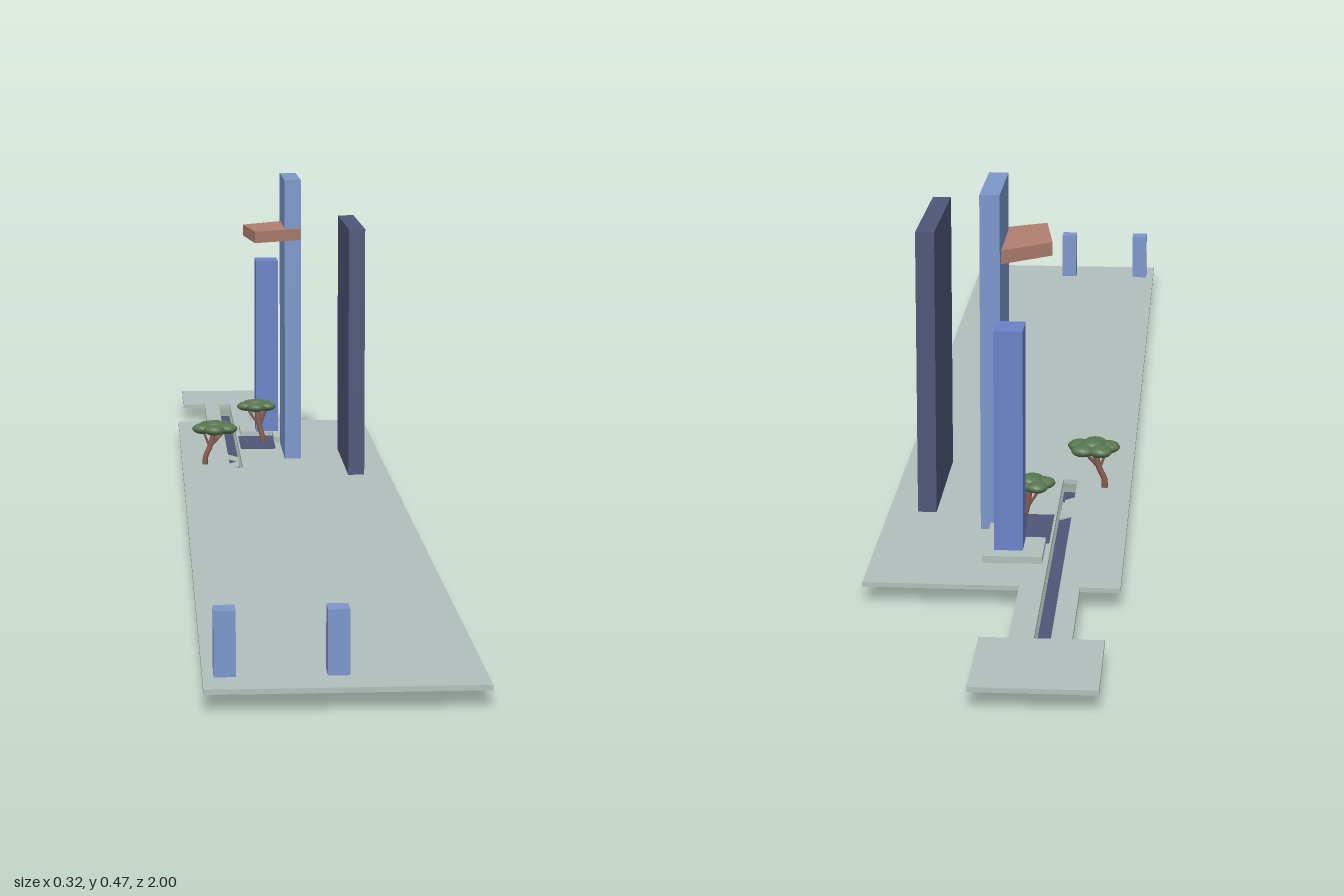
import * as THREE from 'three';

const mat = (name, color, extra = {}) => {
  const m = new THREE.MeshStandardMaterial({ color, ...extra });
  m.name = name;
  return m;
};

export function createModel() {
  const root = new THREE.Group();
  root.name = 'siteModel';
  const stone = mat('paleStone', 0xb2bfbb);
  const sky = mat('lightBlue', 0x7b97cb);
  const blue = mat('midBlue', 0x6a82c8);
  const navy = mat('navy', 0x4f5678);
  const clay = mat('terracotta', 0xb07f70);
  const leaf = mat('leafGreen', 0x58764f);
  const bark = mat('barkBrown', 0x8a5d50);

  const add = (name, geo, material, parent = root) => {
    const m = new THREE.Mesh(geo, material);
    m.name = name;
    parent.add(m);
    return m;
  };
  // Box given by its extents on each axis
  const box = (name, material, [x0, x1], [y0, y1], [z0, z1]) => {
    const g = new THREE.BoxGeometry(x1 - x0, y1 - y0, z1 - z0);
    g.translate((x0 + x1) / 2, (y0 + y1) / 2, (z0 + z1) / 2);
    return add(name, g, material);
  };
  // Horizontal slab from an outline of [x, z] points
  const toVec = (pts) => pts.map(([x, z]) => new THREE.Vector2(x, -z));
  const slab = (name, material, pts, y0, y1, hole) => {
    const s = new THREE.Shape(toVec(pts));
    if (hole) s.holes.push(new THREE.Path(toVec(hole)));
    const g = new THREE.ExtrudeGeometry(s, { depth: y1 - y0, bevelEnabled: false });
    g.rotateX(-Math.PI / 2);
    g.translate(0, y0, 0);
    return add(name, g, material);
  };

  // Ground plate with neck, head and the long slot
  slab('groundPlate', stone, [
    [-0.16, 1], [0.16, 1], [0.16, -0.68], [-0.035, -0.68], [-0.035, -0.85], [0, -0.85],
    [0, -1], [-0.148, -1], [-0.148, -0.85], [-0.11, -0.85], [-0.11, -0.68], [-0.16, -0.68],
  ], 0.021, 0.027, [[-0.085, -0.85], [-0.085, -0.26], [-0.065, -0.26], [-0.065, -0.85]]);

  // Sunken channel floor below the slot
  box('channelFloor', navy, [-0.084, -0.066], [0, 0.007], [-0.845, -0.255]);

  // Zigzag ramps down into the channel
  [[-0.085, 0.021, -0.068, 0.016], [-0.068, 0.016, -0.085, 0.012], [-0.085, 0.012, -0.07, 0.007]]
    .forEach(([x0, y0, x1, y1], i) => {
      const g = new THREE.BoxGeometry(Math.hypot(x1 - x0, y1 - y0), 0.002, 0.035);
      g.rotateZ(Math.atan((y1 - y0) / (x1 - x0)));
      g.translate((x0 + x1) / 2, (y0 + y1) / 2, -0.38 + i * 0.035);
      add('ramp', g, stone);
    });

  // Plinth and pool
  slab('plinth', stone, [
    [-0.058, -0.6], [0.018, -0.6], [0.018, -0.47], [-0.005, -0.47], [-0.005, -0.525], [-0.058, -0.525],
  ], 0.027, 0.036);
  box('pool', navy, [-0.062, -0.005], [0.027, 0.029], [-0.523, -0.415]);

  // Towers
  box('darkTower', navy, [0.096, 0.121], [0.027, 0.411], [-0.41, -0.19]);
  box('tallTower', sky, [0.005, 0.031], [0.027, 0.475], [-0.473, -0.328]);
  box('rearTower', blue, [-0.032, 0.005], [0.036, 0.324], [-0.577, -0.527]);

  // Cantilevered terrace
  slab('terrace', clay, [
    [-0.058, -0.4], [-0.044, -0.285], [0.03, -0.327], [0.03, -0.472], [0.005, -0.453],
  ], 0.38, 0.398);

  // Gate posts
  [-0.135, -0.007].forEach((x) =>
    box('gatePost', sky, [x - 0.0125, x + 0.0125], [0.027, 0.103], [0.923, 0.951]));

  // Trees: bent trunks and flat lobed crowns
  const tree = (bx, bz, cx, cy, cz, r) => {
    const t = new THREE.Group();
    t.name = 'tree';
    root.add(t);
    const base = new THREE.Vector3(bx, 0.027, bz);
    const fork = new THREE.Vector3(bx + (cx - bx) * 0.45, 0.054, bz + (cz - bz) * 0.4);
    const trunk = new THREE.CatmullRomCurve3([base,
      new THREE.Vector3(bx + (cx - bx) * 0.05, 0.04, bz), fork,
      new THREE.Vector3(cx, cy, cz)]);
    add('trunk', new THREE.TubeGeometry(trunk, 10, 0.0042, 8), bark, t);
    for (let i = 0; i < 5; i++) {
      const a = (i / 5) * Math.PI * 2 + 0.4;
      const tip = new THREE.Vector3(cx + Math.cos(a) * r * 0.55, cy, cz + Math.sin(a) * r * 0.55);
      if (i % 2 === 0) {
        add('branch', new THREE.TubeGeometry(new THREE.LineCurve3(fork, tip), 1, 0.002, 6), bark, t);
      }
      const lobe = new THREE.SphereGeometry(r * 0.45, 12, 8);
      lobe.scale(1, 0.5, 1);
      lobe.translate(tip.x, tip.y, tip.z);
      add('crownLobe', lobe, leaf, t);
    }
    const top = new THREE.SphereGeometry(r * 0.5, 12, 8);
    top.scale(1, 0.5, 1);
    top.translate(cx, cy + 0.003, cz);
    add('crownTop', top, leaf, t);
  };
  tree(-0.124, -0.29, -0.108, 0.085, -0.292, 0.037);
  tree(-0.024, -0.465, -0.034, 0.09, -0.468, 0.033);

  return root;
}
